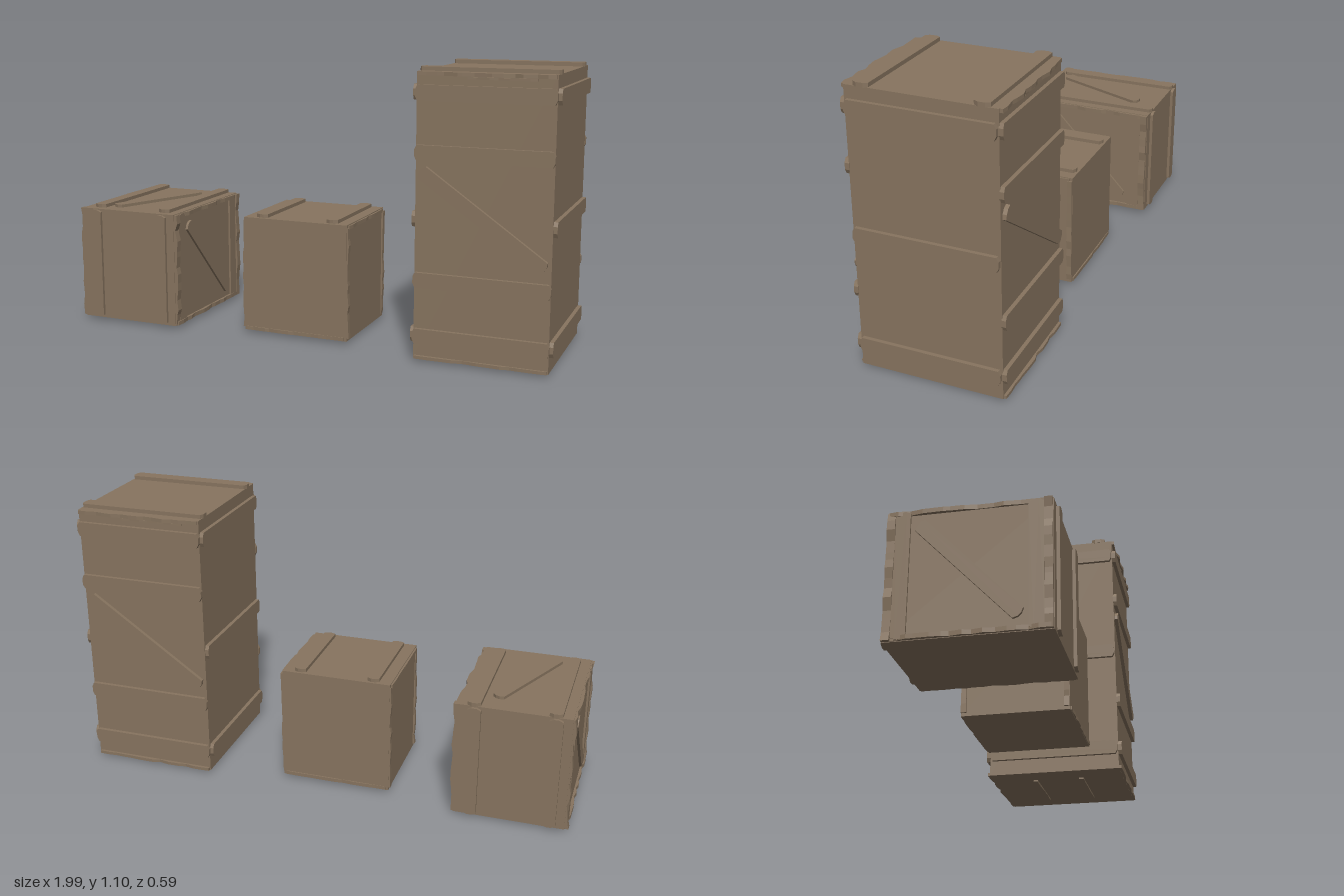
import * as THREE from 'three';

const wood = new THREE.MeshStandardMaterial({ color: 0x87745f });
wood.name = 'weathered brown wood';

// Small seeded generator for the worn edges
let seed = 7;
const rand = () => (seed = (seed * 16807) % 2147483647) / 2147483647;

function addMesh(parent, geometry, name) {
  const mesh = new THREE.Mesh(geometry, wood);
  mesh.name = name;
  parent.add(mesh);
  return mesh;
}

function polygon(points) {
  return new THREE.Shape(points.map(([x, y]) => new THREE.Vector2(x, y)));
}

// Flat plank with clipped corners, lying on a face (local z points outwards)
function plank(face, name, u, v, length, width, angle = 0, thickness = 0.015) {
  const a = length / 2, b = width / 2, c = 0.008, d = 0.016;
  const shape = polygon([[-a + c, -b], [a - c, -b], [a, -b + d], [a, b - d],
    [a - c, b], [-a + c, b], [-a, b - d], [-a, -b + d]]);
  const geometry = new THREE.ExtrudeGeometry(shape, { depth: thickness + 0.002, bevelEnabled: false });
  const mesh = addMesh(face, geometry, name);
  mesh.position.set(u, v, -0.002);
  mesh.rotation.z = angle;
}

// Splintered strip whose height above the face varies along its length
function splinter(face, name, u, v, length, width, angle = 0, height = 0.014) {
  const n = Math.max(5, Math.round(length / 0.035));
  const points = [[length / 2, -0.003], [-length / 2, -0.003]];
  for (let i = 0; i <= n; i++) {
    const jitter = i > 0 && i < n ? (rand() - 0.5) * 0.6 : 0;
    points.push([-length / 2 + (i + jitter) * length / n, height * (0.25 + 0.75 * rand())]);
  }
  const geometry = new THREE.ExtrudeGeometry(polygon(points.reverse()), { depth: width, bevelEnabled: false });
  geometry.translate(0, 0, -width / 2).rotateX(Math.PI / 2);
  const mesh = addMesh(face, geometry, name);
  mesh.position.set(u, v, 0);
  mesh.rotation.z = angle;
}

// Crate body plus one group per face, each with its origin at the face centre
function crate(name, [x0, x1], [y0, y1], [z0, z1]) {
  const group = new THREE.Group();
  group.name = name;
  group.position.set((x0 + x1) / 2, (y0 + y1) / 2, (z0 + z1) / 2);
  const w = x1 - x0, h = y1 - y0, d = z1 - z0;
  addMesh(group, new THREE.BoxGeometry(w, h, d), 'crateBody');
  const faces = {};
  const face = (key, position, rx, ry) => {
    const g = new THREE.Group();
    g.name = key + 'Face';
    g.position.set(...position);
    g.rotation.set(rx, ry, 0);
    group.add(g);
    faces[key] = g;
  };
  face('front', [0, 0, d / 2], 0, 0);
  face('back', [0, 0, -d / 2], 0, Math.PI);
  face('left', [w / 2, 0, 0], 0, Math.PI / 2);
  face('right', [-w / 2, 0, 0], 0, -Math.PI / 2);
  face('top', [0, h / 2, 0], -Math.PI / 2, 0);
  face('bottom', [0, -h / 2, 0], Math.PI / 2, 0);
  return { group, faces, w, h, d };
}

const UP = Math.PI / 2;

function tallCrate() {
  const c = crate('tallCrate', [0.468, 0.977], [0.01, 1.084], [-0.279, 0.274]);
  const mid = 0.547;
  for (const key of ['front', 'back']) {
    const f = c.faces[key];
    for (const y of [0.1, 0.315, 0.79, 1.008]) plank(f, 'crossBand', 0, y - mid, 0.514, 0.057);
    plank(f, 'diagonalBrace', 0, 0.56 - mid, 0.57, 0.052, -Math.atan2(0.315, 0.45));
    // Frayed lid and foot edges
    splinter(f, 'frayedLidEdge', 0, 0.53, 0.5, 0.014, 0, 0.02);
    splinter(f, 'frayedLidSplinter', 0.06, 0.517, 0.25, 0.008, 0, 0.012);
    splinter(f, 'frayedFootEdge', 0, -0.53, 0.5, 0.012, 0, 0.014);
  }
  for (const key of ['left', 'right']) {
    for (const y of [0.1, 0.54, 1.008]) plank(c.faces[key], 'sideBand', 0, y - mid, 0.546, 0.057);
  }
  for (const v of [0.218, -0.215]) plank(c.faces.top, 'lidBand', 0, v, 0.514, 0.058);
  for (const v of [0.1, -0.1]) splinter(c.faces.bottom, 'wornBase', 0, v, 0.3, 0.02, 0, 0.01);
  return c.group;
}

function bracedCrate() {
  const c = crate('bracedCrate', [-0.986, -0.556], [0.012, 0.476], [-0.284, 0.272]);
  for (const key of ['front', 'back']) {
    for (const u of [-0.15, 0.155]) plank(c.faces[key], 'uprightBand', u, 0, 0.455, 0.052, UP, 0.012);
  }
  for (const key of ['left', 'right']) {
    const f = c.faces[key];
    plank(f, 'diagonalBrace', 0, 0, 0.49, 0.048, -0.81, 0.01);
    for (const s of [-1, 1]) {
      plank(f, 'uprightBand', s * 0.222, 0, 0.455, 0.05, UP, 0.008);
      splinter(f, 'splinteredCorner', s * 0.262, 0, 0.46, 0.028, UP, 0.017);
      splinter(f, 'splinteredRim', 0, s * 0.222, 0.54, 0.016, 0, 0.014);
    }
  }
  for (const u of [-0.151, 0.153]) plank(c.faces.top, 'lidBand', u, 0.015, 0.53, 0.05, UP, 0.014);
  plank(c.faces.top, 'lidDiagonal', -0.004, -0.015, 0.44, 0.048, Math.atan2(0.39, 0.165), 0.012);
  return c.group;
}

function smallCrate() {
  const c = crate('smallCrate', [-0.275, 0.167], [0.012, 0.477], [-0.212, 0.196]);
  for (const u of [-0.149, 0.151]) plank(c.faces.top, 'lidBand', u, 0.002, 0.385, 0.048, UP, 0.014);
  // Chipped corners and rims
  for (const key of ['left', 'right']) {
    for (const s of [-1, 1]) {
      splinter(c.faces[key], 'chippedCorner', s * 0.193, 0, 0.44, 0.02, UP, 0.009);
    }
    splinter(c.faces[key], 'chippedRim', 0, 0.222, 0.38, 0.014, 0, 0.009);
  }
  for (const key of ['front', 'back']) {
    splinter(c.faces[key], 'chippedFoot', 0, -0.224, 0.42, 0.014, 0, 0.007);
  }
  return c.group;
}

export function createModel() {
  seed = 7;
  const model = new THREE.Group();
  model.name = 'woodenCrates';
  model.add(bracedCrate(), smallCrate(), tallCrate());
  return model;
}
